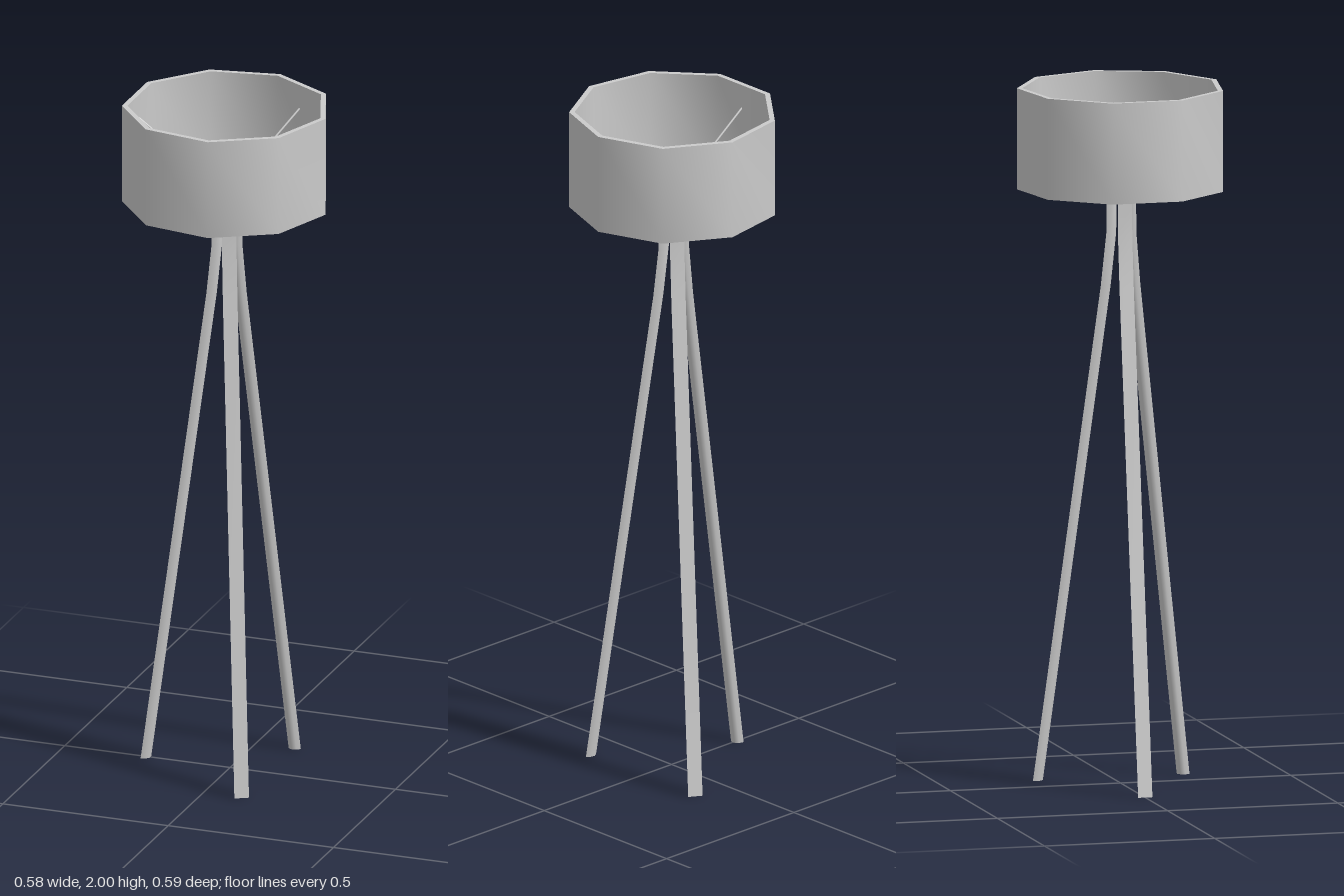
import * as THREE from 'three';
import { toCreasedNormals } from 'three/addons/utils/BufferGeometryUtils.js';

const material = new THREE.MeshStandardMaterial({ color: 0xcccccc, side: THREE.DoubleSide });

function part(name, geometry) {
  const mesh = new THREE.Mesh(geometry, material);
  mesh.name = name;
  return mesh;
}

const lathe = (points, sides) => toCreasedNormals(
  new THREE.LatheGeometry(points.map(([r, y]) => new THREE.Vector2(r, y)), sides, Math.PI / 2), 0.95);

// Straight thin rod between two points
function rod(a, b, radius, sides) {
  const dir = b.clone().sub(a);
  const g = new THREE.CylinderGeometry(radius, radius, dir.length(), sides);
  g.applyQuaternion(new THREE.Quaternion().setFromUnitVectors(new THREE.Vector3(0, 1, 0), dir.normalize()));
  return g.translate((a.x + b.x) / 2, (a.y + b.y) / 2, (a.z + b.z) / 2);
}

// Half-round bar, flat side outward (+x), bent to stand upright at the top
function legGeometry() {
  const w = 0.021, arc = 5, n = arc + 1;
  const path = [[0.2535, 0], [0.055, 1.43], [0.039, 1.58], [0.038, 1.67]];
  const position = [], index = [];
  for (const [r, y] of path) {
    for (let k = 0; k < n; k++) {
      const a = (Math.PI * k) / arc;
      position.push(r - 1.1 * w * Math.sin(a), y, w * Math.cos(a));
    }
  }
  for (let i = 0; i < path.length - 1; i++) {
    for (let k = 0; k < n; k++) {
      const a = i * n + k, b = i * n + ((k + 1) % n);
      index.push(a, a + n, b, b, a + n, b + n);
    }
  }
  const top = (path.length - 1) * n;
  for (let k = 1; k < n - 1; k++) {
    index.push(0, k, k + 1, top, top + k + 1, top + k);
  }
  const g = new THREE.BufferGeometry();
  g.setAttribute('position', new THREE.Float32BufferAttribute(position, 3));
  g.setIndex(index);
  return toCreasedNormals(g, 0.9);
}

export function createModel() {
  const lamp = new THREE.Group();
  lamp.name = 'tripodFloorLamp';
  lamp.position.x = -0.0095;

  // Nine-sided shade, open at both ends
  lamp.add(part('shade', lathe(
    [[0.2975, 1.71], [0.2975, 2], [0.282, 2], [0.282, 1.71], [0.2975, 1.71]], 9)));

  // Centre stem and bulb
  lamp.add(part('stem', new THREE.CylinderGeometry(0.008, 0.008, 0.16, 8).translate(0, 1.67, 0)));
  lamp.add(part('bulb', lathe(
    [[0, 1.73], [0.01, 1.735], [0.013, 1.76], [0.025, 1.79], [0.028, 1.81], [0.02, 1.83], [0, 1.838]], 8)));

  // Three legs, each with a spoke holding the shade above it
  const leg = legGeometry();
  const spoke = rod(new THREE.Vector3(0, 1.735, 0), new THREE.Vector3(0.268, 1.93, 0), 0.003, 6);
  for (let i = 0; i < 3; i++) {
    const arm = new THREE.Group();
    arm.name = 'legAndSpoke' + (i + 1);
    arm.add(part('leg', leg), part('shadeSpoke', spoke));
    arm.rotation.y = Math.PI + (i * 2 * Math.PI) / 3;
    lamp.add(arm);
  }

  const model = new THREE.Group();
  model.name = 'floorLamp';
  model.add(lamp);
  return model;
}
